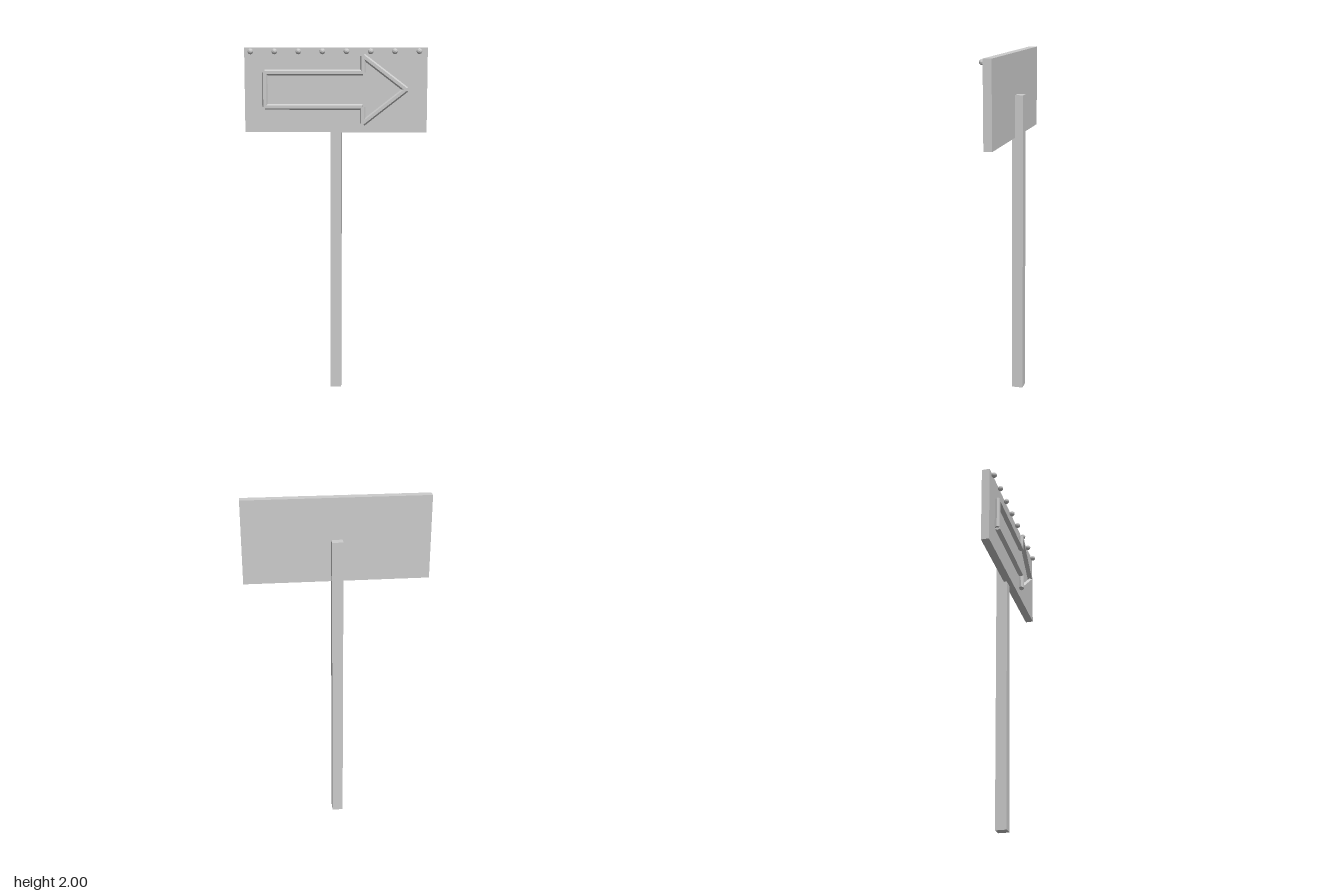
import * as THREE from 'three';

export function createModel() {
  const model = new THREE.Group();
  const grey = new THREE.MeshStandardMaterial({ color: 0xcccccc, flatShading: true });
  grey.name = 'plain grey';

  const add = (parent, name, geometry, x, y, z) => {
    const mesh = new THREE.Mesh(geometry, grey);
    mesh.name = name;
    mesh.position.set(x, y, z);
    parent.add(mesh);
    return mesh;
  };

  // Post overlaps the rear of the board
  add(model, 'post', new THREE.BoxGeometry(0.063, 1.765, 0.065), -0.002, 0.8825, -0.0325);
  add(model, 'signBoard', new THREE.BoxGeometry(1.036, 0.475, 0.047), -0.002, 1.7625, 0.005);

  // Arrow outline made of straight six-sided tubes, one per edge
  const arrow = new THREE.Group();
  arrow.name = 'arrowOutline';
  model.add(arrow);
  const outline = [
    [-0.402, 1.862], [0.154, 1.862], [0.154, 1.952], [0.397, 1.767],
    [0.154, 1.577], [0.154, 1.669], [-0.402, 1.669],
  ].map(([x, y]) => new THREE.Vector3(x, y, 0.044));
  const up = new THREE.Vector3(0, 1, 0);
  outline.forEach((a, i) => {
    const b = outline[(i + 1) % outline.length];
    const dir = b.clone().sub(a);
    const mid = a.clone().add(b).multiplyScalar(0.5);
    // flat sides face front and back
    const geo = new THREE.CylinderGeometry(0.0165, 0.0165, dir.length(), 6).rotateY(Math.PI / 2);
    const tube = add(arrow, 'arrowTube', geo, mid.x, mid.y, mid.z);
    // turn about z only, so every tube keeps its flat front
    tube.rotation.z = Math.atan2(dir.y, dir.x) - Math.atan2(up.y, up.x);
  });

  // Row of bulbs along the top edge
  const bulbs = new THREE.Group();
  bulbs.name = 'bulbs';
  model.add(bulbs);
  const bulb = new THREE.IcosahedronGeometry(0.0165, 1);
  for (let i = 0; i < 8; i++) add(bulbs, 'bulb', bulb, -0.482 + i * 0.1358, 1.979, 0.045);

  return model;
}
